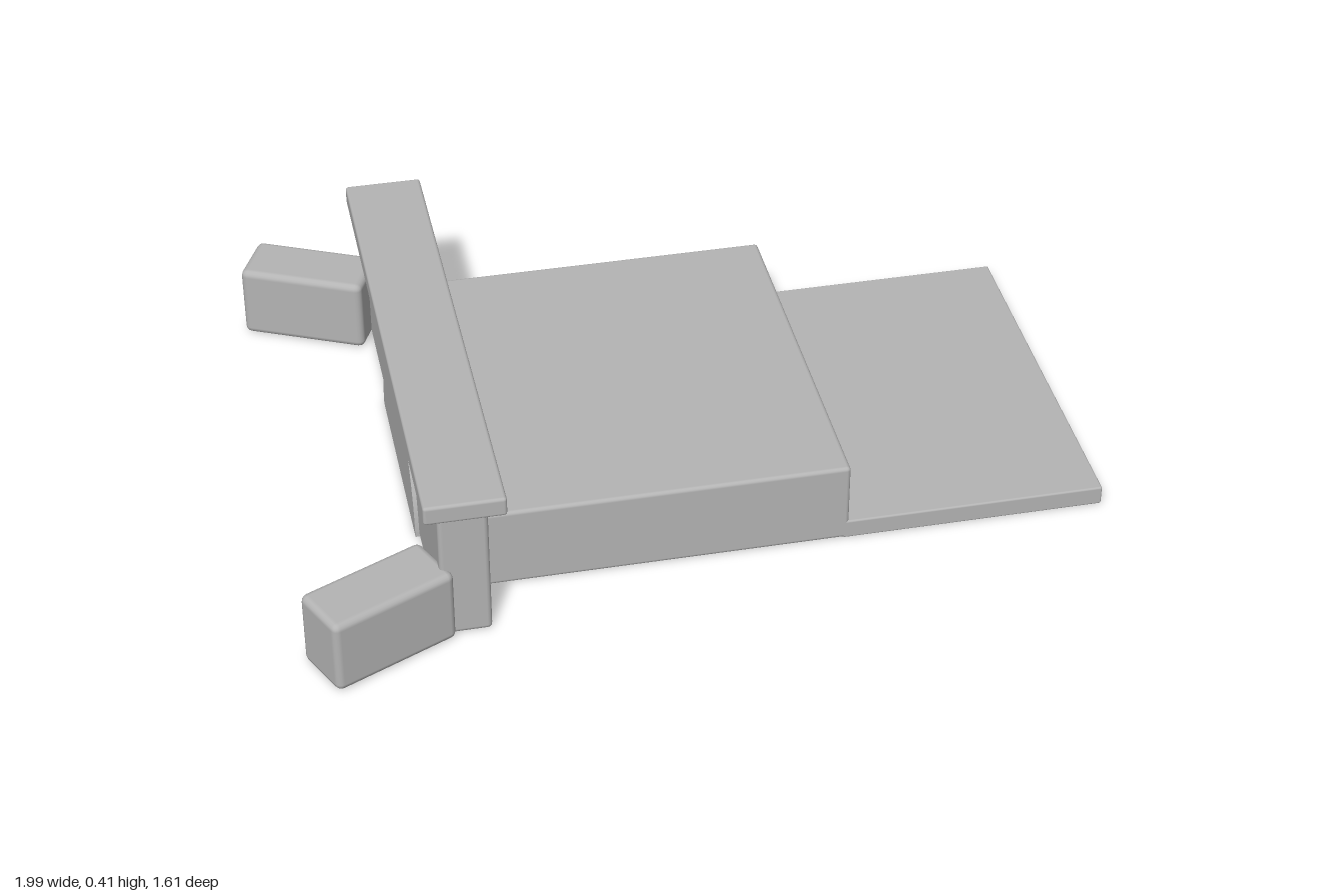
import * as THREE from 'three';
import { RoundedBoxGeometry } from 'three/addons/geometries/RoundedBoxGeometry.js';

export function createModel() {
  const model = new THREE.Group();
  model.name = 'culvertHeadwall';
  const concrete = new THREE.MeshStandardMaterial({ color: 0xb4b4b4 });
  concrete.name = 'concrete grey';

  // Softly bevelled block given by its extents
  function block(name, x0, x1, y0, y1, depth, bevel) {
    const mesh = new THREE.Mesh(
      new RoundedBoxGeometry(x1 - x0, y1 - y0, depth, 2, bevel), concrete);
    mesh.position.set((x0 + x1) / 2, (y0 + y1) / 2, 0);
    mesh.name = name;
    model.add(mesh);
    return mesh;
  }

  // Headwall with its coping, the body behind it and the low apron
  block('headwall', -0.67, -0.55, 0, 0.365, 1.31, 0.012);
  block('coping', -0.705, -0.51, 0.36, 0.41, 1.38, 0.008);
  block('body', -0.56, 0.355, 0, 0.213, 0.995, 0.01);
  block('apron', 0.34, 1, 0, 0.05, 0.995, 0.005);

  // Splayed wing walls, mirrored across z
  for (const side of [1, -1]) {
    const wing = block(side > 0 ? 'frontWing' : 'backWing',
      -0.982, -0.652, 0, 0.195, 0.155, 0.018);
    wing.position.z = side * 0.67;
    wing.rotation.y = side * THREE.MathUtils.degToRad(25);
  }

  // Half-round opening plate on the outer face of the headwall
  const arch = new THREE.Shape();
  arch.absarc(0, 0, 0.28, 0, Math.PI, false);
  arch.closePath();
  const opening = new THREE.Mesh(
    new THREE.ExtrudeGeometry(arch, { depth: 0.02, bevelEnabled: false, curveSegments: 32 }),
    concrete);
  opening.rotation.y = -Math.PI / 2;
  opening.position.set(-0.66, 0.001, 0);
  opening.name = 'archOpening';
  model.add(opening);

  return model;
}
